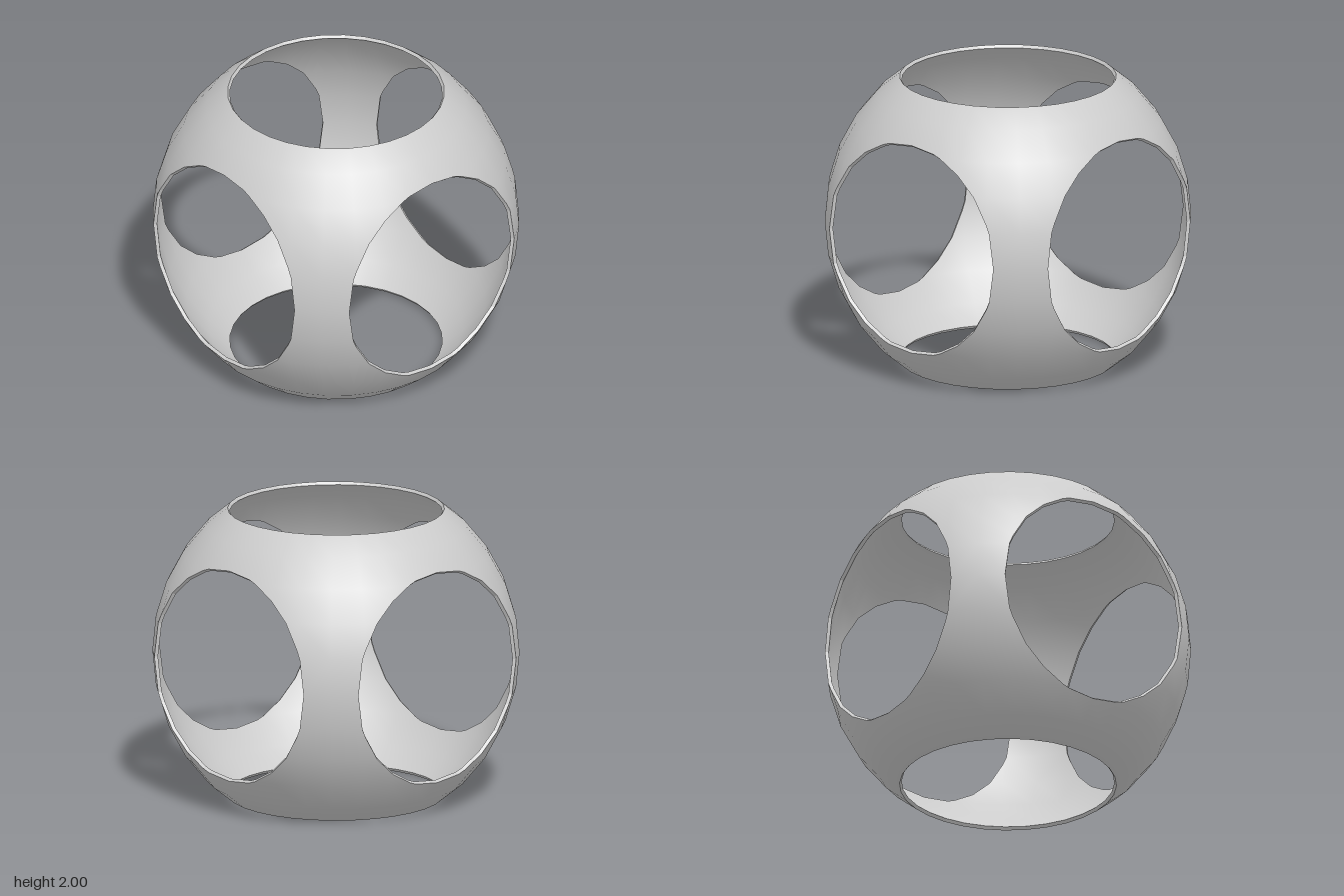
import * as THREE from 'three';

const RADIUS = 1.246;   // outer sphere
const INNER = 0.98;     // inner surface as a fraction of the outer
const CUT = 1;          // distance of the six cutting planes
const SEGMENTS = 32, RINGS = 16;
const AXES = ['x', 'y', 'z'];

// Keep the part of a polygon where sign * p[axis] <= CUT
function clip(poly, axis, sign) {
  const out = [];
  poly.forEach((a, i) => {
    const b = poly[(i + 1) % poly.length];
    const da = sign * a[axis] - CUT, db = sign * b[axis] - CUT;
    if (da <= 0) out.push(a);
    if (da * db < 0) out.push(a.clone().lerp(b, da / (da - db)));
  });
  return out;
}

// Fan of triangles; normalOf gives the normal at each corner
function addFan(data, poly, normalOf) {
  for (let i = 1; i < poly.length - 1; i++) {
    for (const p of [poly[0], poly[i], poly[i + 1]]) {
      data.positions.push(p.x, p.y + 1, p.z);
      data.normals.push(...normalOf(p).toArray());
    }
  }
}

function makeMesh(name, data) {
  const geometry = new THREE.BufferGeometry();
  geometry.setAttribute('position', new THREE.Float32BufferAttribute(data.positions, 3));
  geometry.setAttribute('normal', new THREE.Float32BufferAttribute(data.normals, 3));
  const mesh = new THREE.Mesh(geometry, new THREE.MeshStandardMaterial({ color: 0xcccccc }));
  mesh.name = name;
  return mesh;
}

export function createModel() {
  const newData = () => ({ positions: [], normals: [] });
  const outer = newData(), inner = newData(), rims = newData();
  const point = (ring, seg) => new THREE.Vector3().setFromSphericalCoords(
    RADIUS, ring / RINGS * Math.PI, seg / SEGMENTS * Math.PI * 2);
  const shrink = p => p.clone().multiplyScalar(INNER);
  const onCut = (a, b) => AXES.some(k =>
    Math.abs(Math.abs(a[k]) - CUT) < 1e-6 && Math.abs(a[k] - b[k]) < 1e-6);

  for (let r = 0; r < RINGS; r++) {
    for (let s = 0; s < SEGMENTS; s++) {
      // One sphere facet, trimmed by the six planes
      let poly = [point(r, s), point(r + 1, s), point(r + 1, s + 1), point(r, s + 1)];
      for (const axis of AXES) for (const sign of [1, -1]) poly = clip(poly, axis, sign);
      if (poly.length < 3) continue;

      addFan(outer, poly, p => p.clone().normalize());
      addFan(inner, poly.map(shrink).reverse(), p => p.clone().normalize().negate());

      // Radial wall along each trimmed edge
      poly.forEach((a, i) => {
        const b = poly[(i + 1) % poly.length];
        if (!onCut(a, b) || a.distanceTo(b) < 1e-6) return;
        const normal = a.clone().sub(b).cross(shrink(a).sub(a)).normalize();
        addFan(rims, [b, a, shrink(a), shrink(b)], () => normal);
      });
    }
  }

  const group = new THREE.Group();
  group.name = 'perforatedSphere';
  group.add(makeMesh('outerShell', outer), makeMesh('innerShell', inner), makeMesh('holeRims', rims));
  return group;
}
